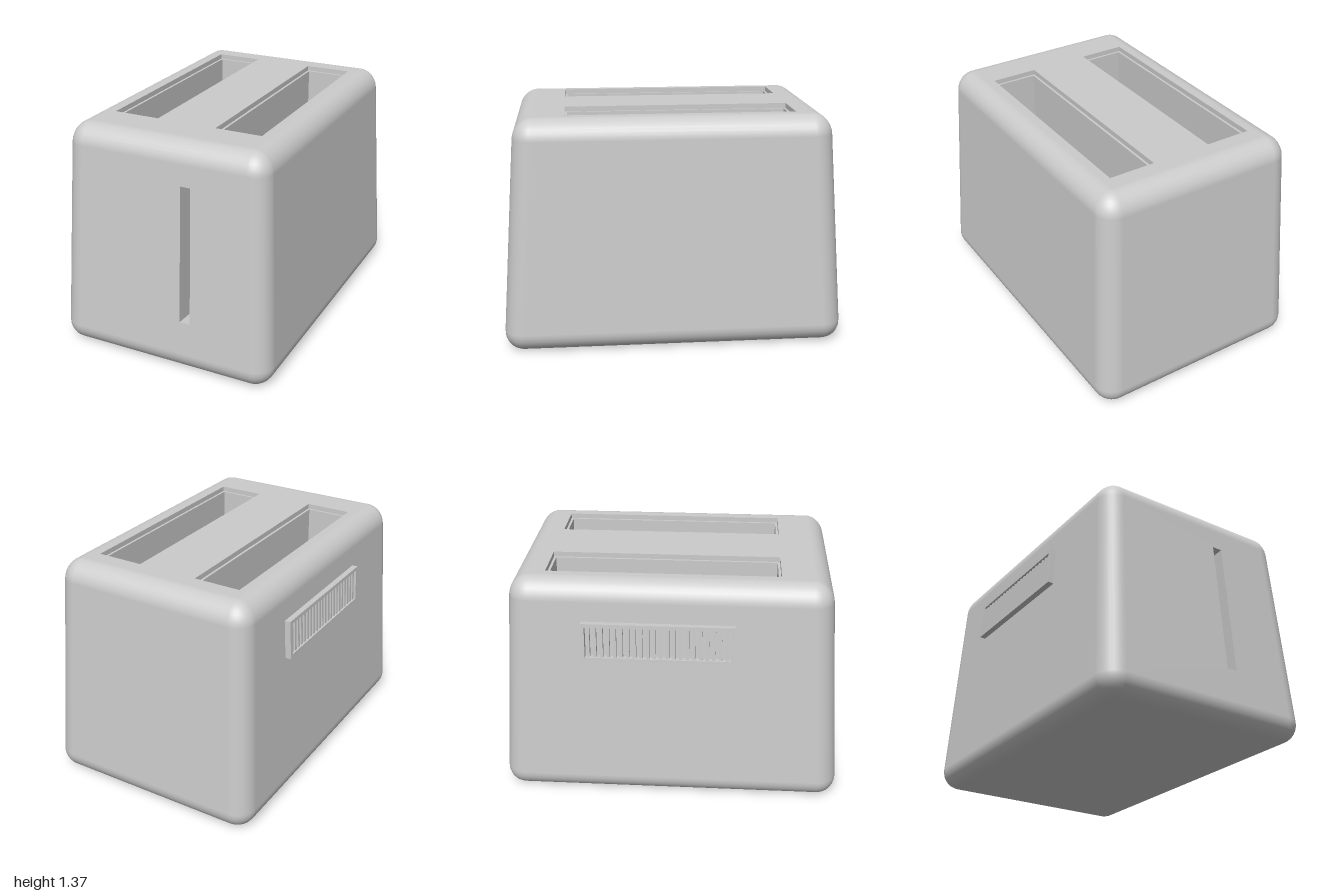
import * as THREE from 'three';

const H = 1.37, HX = 0.675, HZ = 1.0, R = 0.12;
const taper = (y) => 1 - 0.0724 * (y - R);
const grey = new THREE.MeshStandardMaterial({ color: 0xcccccc });

function add(parent, name, geometry) {
  const mesh = new THREE.Mesh(geometry, grey);
  mesh.name = name;
  parent.add(mesh);
  return mesh;
}

// Skin a stack of closed loops; keep(i, j) may leave out single quads
function loft(loops, keep = () => true) {
  const n = loops[0].length, index = [];
  for (let i = 0; i < loops.length - 1; i++) {
    for (let j = 0; j < n; j++) {
      if (!keep(i, j)) continue;
      const k = (j + 1) % n;
      const a = i * n + j, b = i * n + k, c = (i + 1) * n + k, d = (i + 1) * n + j;
      index.push(a, d, c, a, c, b);
    }
  }
  const g = new THREE.BufferGeometry();
  g.setAttribute('position', new THREE.Float32BufferAttribute(loops.flat(2), 3));
  g.setIndex(index);
  return g;
}

function flat(g) {
  const out = g.toNonIndexed();
  out.computeVertexNormals();
  return out;
}

function rectPath(Type, x0, x1, y0, y1) {
  return new Type([[x0, y0], [x1, y0], [x1, y1], [x0, y1]].map((p) => new THREE.Vector2(...p)));
}

function holedRect(outer, holes) {
  const s = rectPath(THREE.Shape, ...outer);
  holes.forEach((h) => s.holes.push(rectPath(THREE.Path, ...h)));
  return s;
}

const rectLoop = (x0, x1, z0, z1, y) => [[x1, y, z0], [x1, y, z1], [x0, y, z1], [x0, y, z0]];

// Rounded, tapered shell, open at top, bottom and the flat front panel
function shellGeometry() {
  const steps = 8, loops = [], normals = [];
  for (let i = 0; i <= 2 * steps + 1; i++) {
    const upper = i > steps;
    const a = ((upper ? i - 1 : i) / steps - 1) * Math.PI / 2;
    const ca = Math.cos(a), sa = Math.sin(a);
    const y = (upper ? H - R : R) + R * sa, f = taper(y), loop = [];
    for (let k = 0; k < 4; k++) {
      const sx = k === 0 || k === 3 ? 1 : -1, sz = k < 2 ? 1 : -1;
      for (let s = 0; s <= steps; s++) {
        const t = (k + s / steps) * Math.PI / 2;
        const nx = Math.cos(t) * ca, nz = Math.sin(t) * ca;
        loop.push([f * (sx * (HX - R) + R * nx), y, f * (sz * (HZ - R) + R * nz)]);
        const n = new THREE.Vector3(nx, sa + 0.06 * ca, nz).normalize();
        normals.push(n.x, n.y, n.z);
      }
    }
    loops.push(loop);
  }
  const g = loft(loops, (i, j) => !(i === steps && j === steps));
  g.setAttribute('normal', new THREE.Float32BufferAttribute(normals, 3));
  return g;
}

export function createModel() {
  const model = new THREE.Group();
  model.name = 'toaster';
  const body = new THREE.Group();
  body.name = 'body';
  model.add(body);
  add(body, 'shell', shellGeometry());

  // Flat underside
  const bottom = new THREE.PlaneGeometry(2 * (HX - R) * taper(0), 2 * (HZ - R) * taper(0));
  add(body, 'underside', bottom.rotateX(Math.PI / 2));

  // Top with two bread slots (x0, x1, z0, z1)
  const slots = [[-0.465, -0.185, -0.715, 0.62], [0.18, 0.46, -0.715, 0.62]];
  const tx = (HX - R) * taper(H), tz = (HZ - R) * taper(H);
  const top = new THREE.ShapeGeometry(
    holedRect([-tx, tx, -tz, tz], slots.map(([a, b, c, d]) => [a, b, -d, -c])));
  add(body, 'topPanel', top.rotateX(-Math.PI / 2).translate(0, H, 0));

  // Bread slots with a stepped lip
  const lip = 0.014, lipY = H - 0.03, floorY = 0.35;
  for (const [x0, x1, z0, z1] of slots) {
    const inner = [x0 + lip, x1 - lip, z0 + lip, z1 - lip];
    const cx = (x0 + x1) / 2, cz = (z0 + z1) / 2;
    add(body, 'breadSlot', flat(loft([
      rectLoop(x0, x1, z0, z1, H),
      rectLoop(x0, x1, z0, z1, lipY),
      rectLoop(...inner, lipY),
      rectLoop(...inner, floorY),
      rectLoop(cx, cx, cz, cz, floorY),
    ])));
  }

  // Front panel with the lever slot, bent to the taper of the shell
  const lever = [0.132, 0.198, 0.32, 1.13];
  const front = new THREE.ShapeGeometry(holedRect([-(HX - R), HX - R, R, H - R], [lever]));
  const fp = front.attributes.position;
  for (let i = 0; i < fp.count; i++) {
    const f = taper(fp.getY(i));
    fp.setXYZ(i, fp.getX(i) * f, fp.getY(i), HZ * f);
  }
  add(body, 'frontPanel', flat(front));

  // Lever slot sunk at right angles into the sloping front
  const sunk = (x0, x1, y0, y1, depth) => rectLoop(x0, x1, -y1, -y0, 0).map(([x, , z]) => {
    const f = taper(-z);
    return [x * f, -z - 0.0724 * depth, HZ * f - depth];
  });
  const mx = (lever[0] + lever[1]) / 2, my = (lever[2] + lever[3]) / 2;
  add(body, 'leverSlot', flat(loft([
    sunk(...lever, 0), sunk(...lever, 0.12), sunk(mx, mx, my, my, 0.12),
  ])));

  // Side vent: a frame with upright slats, lying on the sloping right side
  const vent = new THREE.Group();
  vent.name = 'sideVent';
  const w = 0.435, h = 0.115, border = 0.022, count = 22;
  const frame = new THREE.ExtrudeGeometry(
    holedRect([-w, w, -h, h], [[-w + border, w - border, -h + border, h - border]]),
    { depth: 0.045, bevelEnabled: false });
  add(vent, 'ventFrame', frame.translate(0, 0, -0.01).rotateY(-Math.PI / 2));
  const pitch = 2 * (w - border) / count;
  for (let i = 0; i < count; i++) {
    const slat = add(vent, 'ventSlat', new THREE.BoxGeometry(0.035, 2 * (h - border), pitch * 0.5));
    slat.position.set(-0.0075, 0, (i + 0.5 - count / 2) * pitch);
  }
  vent.position.set(-HX * taper(1.02), 1.02, -0.065);
  vent.rotation.z = -0.049;
  model.add(vent);

  return model;
}
